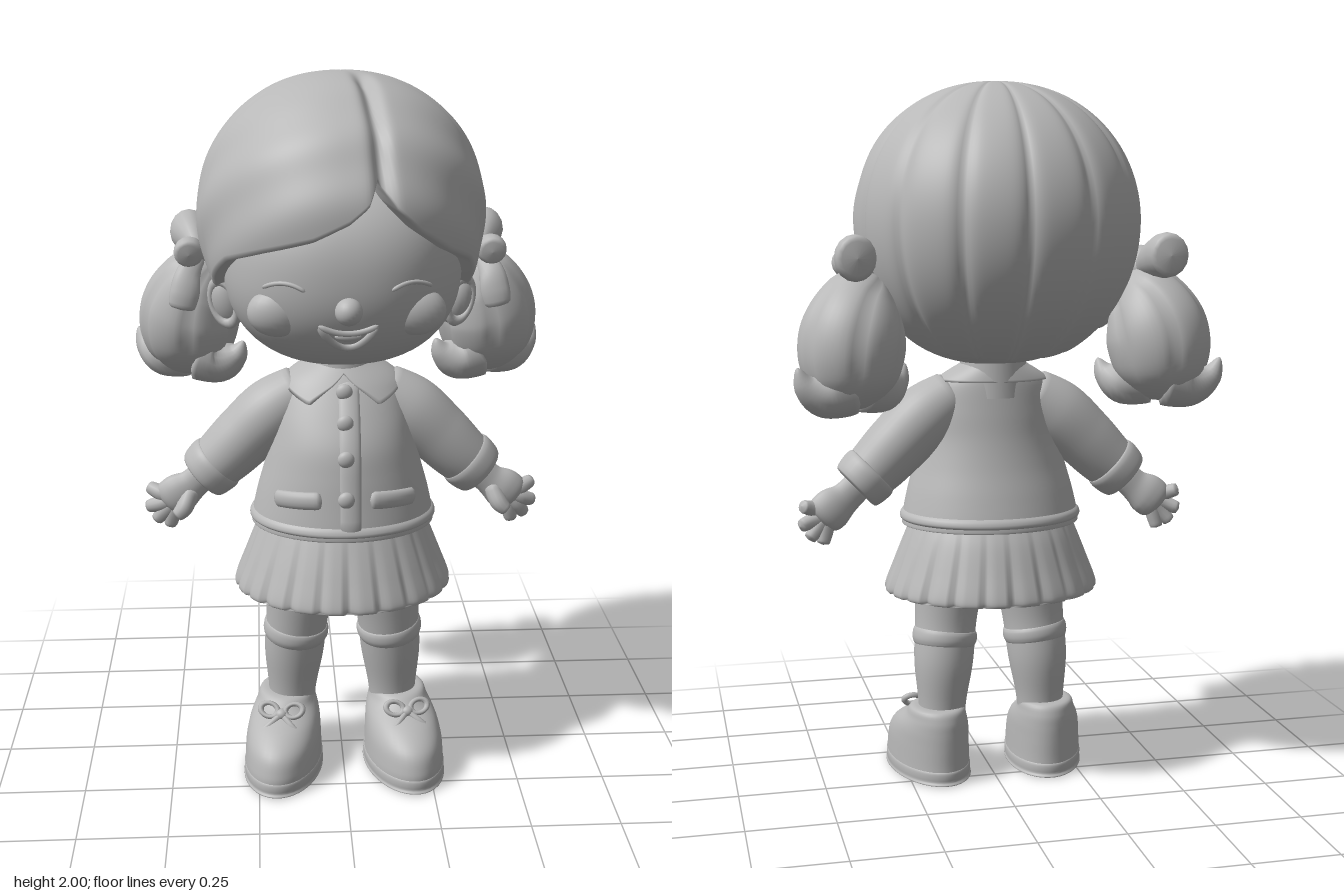
import * as THREE from 'three';

// Catmull-Rom sample of equally spaced numeric rows
function mix(rows, t) {
  const n = rows.length - 1, f = Math.min(t, 1) * n, i = Math.min(Math.floor(f), n - 1), u = f - i;
  const at = k => rows[Math.max(0, Math.min(n, k))];
  const [a, b, c, d] = [at(i - 1), at(i), at(i + 1), at(i + 2)];
  return b.map((_, k) => b[k] + 0.5 * u * (c[k] - a[k] + u * (2 * a[k] - 5 * b[k] + 4 * c[k] - d[k]
    + u * (3 * (b[k] - c[k]) + d[k] - a[k]))));
}

// Skin of rings: fn(t, angle) -> [x, y, z], closed around the angle
function skin(rows, cols, fn) {
  const pos = [], idx = [];
  for (let i = 0; i <= rows; i++) for (let j = 0; j < cols; j++) {
    pos.push(...fn(i / rows, (j / cols) * Math.PI * 2));
    if (i === rows) continue;
    const a = i * cols + j, b = i * cols + (j + 1) % cols, c = a + cols, d = b + cols;
    idx.push(a, c, b, c, d, b);
  }
  const g = new THREE.BufferGeometry();
  g.setAttribute('position', new THREE.Float32BufferAttribute(pos, 3));
  g.setIndex(idx);
  g.computeVertexNormals();
  return g;
}

// Upright form from rows [y, halfWidth, zFront, zBack], top to bottom
const ringPoint = ([y, rx, zf, zb], a, k = 1) =>
  [rx * k * Math.sin(a), y, (zf + zb) / 2 + (zf - zb) / 2 * k * Math.cos(a)];
const loft = (rows, seg = 40, cols = 48, wave = () => 1) =>
  skin(seg, cols, (t, a) => ringPoint(mix(rows, t), a, wave(t, a)));

// Round limb through rows [x, y, z, radius]; flat squashes its thickness
function limb(rows, { flat = 1, cap = 0.12, seg = 20, cols = 16, lobes = 0 } = {}) {
  const V = r => new THREE.Vector3(r[0], r[1], r[2]);
  const dir = V(rows[rows.length - 1]).sub(V(rows[0])).normalize();
  const ref = Math.abs(dir.z) > 0.7 ? new THREE.Vector3(1, 0, 0) : new THREE.Vector3(0, 0, 1);
  return skin(seg, cols, (t, a) => {
    const p = mix(rows, t), T = V(mix(rows, Math.min(1, t + 0.02))).sub(V(mix(rows, Math.max(0, t - 0.02)))).normalize();
    const N = ref.clone().addScaledVector(T, -ref.dot(T)).normalize(), B = T.clone().cross(N);
    const e = Math.max(0, 1 - Math.min(t, 1 - t) / cap);
    const r = Math.max(0, p[3]) * Math.sqrt(1 - e * e) * (1 - 0.07 * lobes * (1 - Math.abs(Math.sin(a * 3))) ** 3);
    return V(p).addScaledVector(N, r * flat * Math.cos(a)).addScaledVector(B, -r * Math.sin(a)).toArray();
  });
}

// Lower hair edge as [degrees from front, height]
const EDGE = [[-180, 1.24], [-120, 1.26], [-90, 1.4], [-70, 1.48], [-55, 1.54], [-35, 1.58], [-15, 1.615], [0, 1.66], [8, 1.7],
  [13, 1.77], [20, 1.69], [30, 1.63], [45, 1.57], [60, 1.53], [70, 1.48], [90, 1.4], [120, 1.26], [180, 1.24]];
function hairEdge(a) {
  let d = a * 180 / Math.PI;
  if (d > 180) d -= 360;
  const i = Math.max(1, EDGE.findIndex(e => e[0] >= d)), [p, q] = [EDGE[i - 1], EDGE[i]];
  return p[1] + (q[1] - p[1]) * (d - p[0]) / (q[0] - p[0]);
}
function hairPoint(t, a) {
  const s = Math.sin(a), c = Math.cos(a), e = hairEdge(a) - 1.62;
  const phi = Math.acos(e / (e > 0 ? 0.38 : 0.41)) * Math.min(t / 0.92, 1), cp = Math.cos(phi);
  const fold = Math.max(0, (t - 0.92) / 0.08);
  const R = Math.sin(phi) ** 0.92, q = (Math.abs(s) ** 2.25 + Math.abs(c) ** 2.25) ** (-1 / 2.25);
  let x = 0.395 * s * q * R * (1 - 0.1 * Math.max(0, c)), z = 0.42 * c * q * R, y = (cp > 0 ? 0.38 : 0.41) * cp;
  // back locks, centre parting and swept side strands
  const front = THREE.MathUtils.smoothstep(c, -0.3, 0.4);
  const locks = 0.035 * R * (1 - front) * (1 - Math.abs(Math.sin(7 * (a - Math.PI)))) ** 3;
  const part = z > 0 ? 0.06 * Math.min(1, z / 0.12) * Math.exp(-(((x - 0.04 - 0.12 * z) / 0.022) ** 2)) : 0;
  const strands = 0.008 * front * R * Math.sin(36 * (y * 0.83 - z * 0.55) + 6 * Math.abs(x - 0.08));
  const k = 1 - locks - part + strands;
  return [x * k * (1 - 0.5 * fold), 1.62 + y * k + 0.02 * fold, z * k * (1 - 0.5 * fold)];
}

// Height of the face front at (x, y)
const faceZ = (x, y) => 0.03 + 0.335 * Math.max(0, 1 - Math.abs(x / 0.325) ** 2.3 - Math.abs((y - 1.5) / 0.28) ** 2.3) ** (1 / 2.3);

const JACKET = [[1.22, 0.09, 0.1, -0.06], [1.17, 0.155, 0.14, -0.07], [1.09, 0.185, 0.19, -0.08], [1.01, 0.2, 0.23, -0.09],
  [0.93, 0.22, 0.248, -0.107], [0.85, 0.242, 0.26, -0.13], [0.77, 0.258, 0.27, -0.15]];
const jacketAt = (y, a, k = 1) => ringPoint(mix(JACKET, y > 1.17 ? (1.22 - y) / 0.3 : (1 + (1.17 - y) / 0.08) / 6), a, k);

export function createModel() {
  const root = new THREE.Group();
  const grey = new THREE.MeshStandardMaterial({ color: 0xb8b8b8, side: THREE.DoubleSide });
  grey.name = 'plain grey';
  const add = (name, geo, p = [0, 0, 0], parent = root) => {
    const m = new THREE.Mesh(geo, grey);
    m.name = name;
    m.position.set(...p);
    parent.add(m);
    return m;
  };
  const ball = (name, p, sx, sy, sz, parent) => {
    const m = add(name, new THREE.SphereGeometry(1, 24, 16), p, parent);
    m.scale.set(sx, sy, sz);
    return m;
  };
  const line = (name, n, r, fn) => add(name, limb(Array.from({ length: n + 1 }, (_, i) => {
    const [x, y] = fn(i / n * 2 - 1);
    return [x, y, faceZ(x, y), r];
  }), { cols: 8 }));

  // Head
  add('face', skin(40, 64, (t, a) => {
    const f = Math.PI * t, s = Math.sin(a), c = Math.cos(a), cy = Math.cos(f), n = 2.3;
    const q = (Math.abs(s) ** n + Math.abs(c) ** n) ** (-1 / n);
    const R = Math.max(0, 1 - Math.abs(cy) ** n) ** (1 / n);
    return [0.325 * s * q * R, 1.5 + 0.28 * cy, 0.03 + 0.335 * c * q * R];
  }));
  add('hair', skin(90, 220, hairPoint));
  ball('nose', [0, 1.43, 0.368], 0.036, 0.036, 0.036);
  line('upperLip', 8, 0.009, u => [0.078 * u, 1.388 - 0.022 * (1 - u * u)]);
  line('lowerLip', 8, 0.011, u => [0.078 * u, 1.388 - 0.066 * (1 - u * u)]);
  ball('teeth', [0, 1.356, faceZ(0, 1.356)], 0.035, 0.012, 0.008);
  add('neck', new THREE.CylinderGeometry(0.09, 0.1, 0.16, 32), [0, 1.21, 0.02]);

  // Jacket
  add('jacket', loft([...JACKET, [0.758, 0.25, 0.26, -0.142], [0.775, 0.2, 0.21, -0.1]], 56, 64));
  add('jacketHem', loft([[0.8, 0.25, 0.265, -0.142], [0.79, 0.261, 0.274, -0.152], [0.775, 0.263, 0.277, -0.155], [0.765, 0.25, 0.26, -0.14]], 10, 64));
  add('collar', skin(12, 128, (t, a) => {
    const d = Math.min(a, 2 * Math.PI - a);
    const drop = d < 0.55 ? 0.03 + 0.075 * d / 0.55 : 0.105 - 0.055 * Math.min(1, (d - 0.55) / 0.9);
    const p = jacketAt(1.222 - drop * Math.min(1, t / 0.85), a, t > 0.86 ? 0.97 : 1.07);
    return p;
  }));
  add('placket', limb([1.18, 1.09, 1.0, 0.9, 0.775].map(y => [0.012, y, jacketAt(y, 0)[2] - 0.004, 0.03]), { flat: 0.4, cap: 0.04 }));
  [1.155, 1.08, 0.99, 0.88].forEach(y => ball('button', [0, y, jacketAt(y, 0)[2] + 0.008], 0.023, 0.023, 0.014));

  // Pleated skirt with a hollow underside
  const SKIRT = [[0.79, 0.225, 0.24, -0.13], [0.73, 0.25, 0.267, -0.165], [0.65, 0.282, 0.298, -0.195], [0.575, 0.31, 0.322, -0.218],
    [0.568, 0.295, 0.307, -0.203], [0.64, 0.26, 0.27, -0.17], [0.72, 0.2, 0.21, -0.12], [0.73, 0, 0.05, 0.05]];
  add('skirt', loft(SKIRT, 56, 192, (t, a) => {
    const saw = (a / (2 * Math.PI) * 22) % 1;
    return 1 - (t < 0.5 ? 0.05 * t / 0.45 : 0.03) * Math.max(0, 1 - saw * 2.5);
  }));

  for (const s of [1, -1]) {
    const side = s > 0 ? 'left' : 'right';
    const part = new THREE.Group();
    part.name = side + 'Side';
    root.add(part);
    const put = (name, rows, opt) => add(name, limb(rows.map(([x, y, z, r]) => [s * x, y, z, r]), opt), [0, 0, 0], part);

    // Closed eye, brow and ear
    line(side + 'Eye', 6, 0.006, u => [s * 0.165 + 0.055 * u, 1.48 + 0.018 * (1 - u * u)]);
    ball(side + 'Cheek', [s * 0.18, 1.41, faceZ(0.18, 1.41) - 0.035], 0.08, 0.065, 0.05, part);
    const ear = ball('ear', [s * 0.318, 1.385, 0.02], 0.048, 0.075, 0.045, part);
    ear.rotation.z = -s * 0.3;
    const rim = add('earRim', new THREE.TorusGeometry(0.048, 0.012, 8, 24), [s * 0.325, 1.385, 0.052], part);
    rim.scale.set(0.75, 1.25, 1);
    rim.rotation.set(0, s * 0.4, -s * 0.3);

    // Bunch of hair with curled tips
    put('ponytail', [[0.35, 1.47, -0.1, 0.05], [0.395, 1.41, -0.13, 0.11], [0.425, 1.32, -0.16, 0.143], [0.435, 1.22, -0.175, 0.13], [0.44, 1.125, -0.18, 0.07]],
      { cap: 0.2, seg: 32, cols: 48, lobes: 1 });
    put('outerCurl', [[0.44, 1.2, -0.19, 0.09], [0.51, 1.18, -0.21, 0.07], [0.56, 1.2, -0.23, 0.035], [0.583, 1.25, -0.24, 0.006]]);
    put('innerCurl', [[0.4, 1.2, -0.14, 0.09], [0.34, 1.18, -0.12, 0.07], [0.295, 1.2, -0.1, 0.035], [0.275, 1.24, -0.09, 0.006]]);

    // Hair bow
    ball('bowKnot', [s * 0.395, 1.49, -0.11], 0.035, 0.04, 0.035, part);
    put('bowBackLoop', [[0.395, 1.49, -0.11, 0.025], [0.41, 1.515, -0.17, 0.05], [0.425, 1.53, -0.225, 0.062], [0.425, 1.53, -0.275, 0.055]], { flat: 0.9 });
    put('bowFrontLoop', [[0.395, 1.49, -0.11, 0.025], [0.41, 1.505, -0.07, 0.035], [0.42, 1.51, -0.03, 0.042], [0.42, 1.505, 0.0, 0.035]]);
    put('ribbonTail', [[0.395, 1.49, -0.09, 0.025], [0.425, 1.44, -0.05, 0.036], [0.435, 1.39, -0.035, 0.042], [0.445, 1.345, -0.03, 0.036]], { flat: 0.5 });

    // Sleeve and cuff
    put('sleeve', [[0.1, 1.14, 0.035, 0.07], [0.19, 1.075, 0.035, 0.092], [0.27, 1.0, 0.032, 0.09], [0.33, 0.94, 0.03, 0.084], [0.395, 0.88, 0.025, 0.072]],
      { cap: 0.06, seg: 32, cols: 32 });
    put('cuff', [[0.345, 0.926, 0.028, 0.08], [0.36, 0.912, 0.027, 0.086], [0.385, 0.888, 0.025, 0.082], [0.4, 0.874, 0.024, 0.074]], { cols: 32 });

    // Hand
    put('palm', [[0.38, 0.892, 0.025, 0.045], [0.425, 0.85, 0.022, 0.046], [0.465, 0.82, 0.018, 0.06], [0.505, 0.785, 0.014, 0.055]], { flat: 0.62, cap: 0.2 });
    [[0.555, 0.835], [0.56, 0.775], [0.535, 0.735], [0.495, 0.718]].forEach(([x, y], i) =>
      put('finger', [[0.475, 0.805, 0.016, 0.022], [(0.475 + x) / 2, (0.805 + y) / 2, 0.016, 0.023], [x, y, 0.005 * (i - 1), 0.018]], { cols: 12, seg: 14 }));
    put('thumb', [[0.43, 0.835, 0.03, 0.024], [0.45, 0.79, 0.055, 0.025], [0.475, 0.765, 0.062, 0.018]], { cols: 12, seg: 14 });

    // Pocket flap
    put('pocket', [0.27, 0.45, 0.62, 0.78, 0.92].map((a, i) => {
      const p = jacketAt(0.865, a);
      return [p[0], 0.872 - 0.003 * i, p[2] - 0.004, 0.026];
    }), { flat: 0.6 });

    // Leg and sock
    put('leg', [[0.11, 0.7, 0.07, 0.1], [0.12, 0.58, 0.075, 0.1], [0.132, 0.46, 0.068, 0.09], [0.142, 0.34, 0.052, 0.086], [0.148, 0.22, 0.046, 0.07], [0.15, 0.12, 0.045, 0.065]],
      { cap: 0.03, seg: 32, cols: 32 });
    put('sockCuff', [[0.133, 0.44, 0.066, 0.088], [0.135, 0.425, 0.064, 0.094], [0.137, 0.405, 0.061, 0.094], [0.139, 0.385, 0.058, 0.086]], { cols: 32 });

    // Shoe, turned slightly outward
    const shoe = new THREE.Group();
    shoe.name = side + 'Shoe';
    shoe.position.set(s * 0.158, 0, 0);
    shoe.rotation.y = s * 0.15;
    part.add(shoe);
    add('shoeUpper', loft([[0.215, 0.03, 0.08, 0], [0.213, 0.074, 0.125, -0.045], [0.185, 0.086, 0.165, -0.06], [0.15, 0.1, 0.245, -0.064],
      [0.11, 0.107, 0.3, -0.065], [0.06, 0.11, 0.32, -0.065], [0.03, 0.111, 0.322, -0.066]], 32, 40), [0, 0, 0], shoe);
    add('sole', loft([[0.045, 0.1, 0.31, -0.055], [0.038, 0.112, 0.324, -0.068], [0.012, 0.112, 0.324, -0.068], [0, 0.104, 0.314, -0.06], [0, 0, 0.13, 0.12]], 20, 40), [0, 0, 0], shoe);
    ball('laceKnot', [0, 0.185, 0.17], 0.018, 0.016, 0.016, shoe);
    for (const k of [1, -1]) {
      const loop = add('laceLoop', new THREE.TorusGeometry(0.026, 0.009, 8, 20), [k * 0.036, 0.195, 0.165], shoe);
      loop.scale.y = 0.75;
      loop.rotation.set(-0.6, 0, k * 0.3);
      add('laceEnd', limb([[0, 0.185, 0.17, 0.009], [k * 0.03, 0.165, 0.195, 0.009], [k * 0.055, 0.145, 0.205, 0.008]], { cols: 8 }), [0, 0, 0], shoe);
    }
  }
  return root;
}
